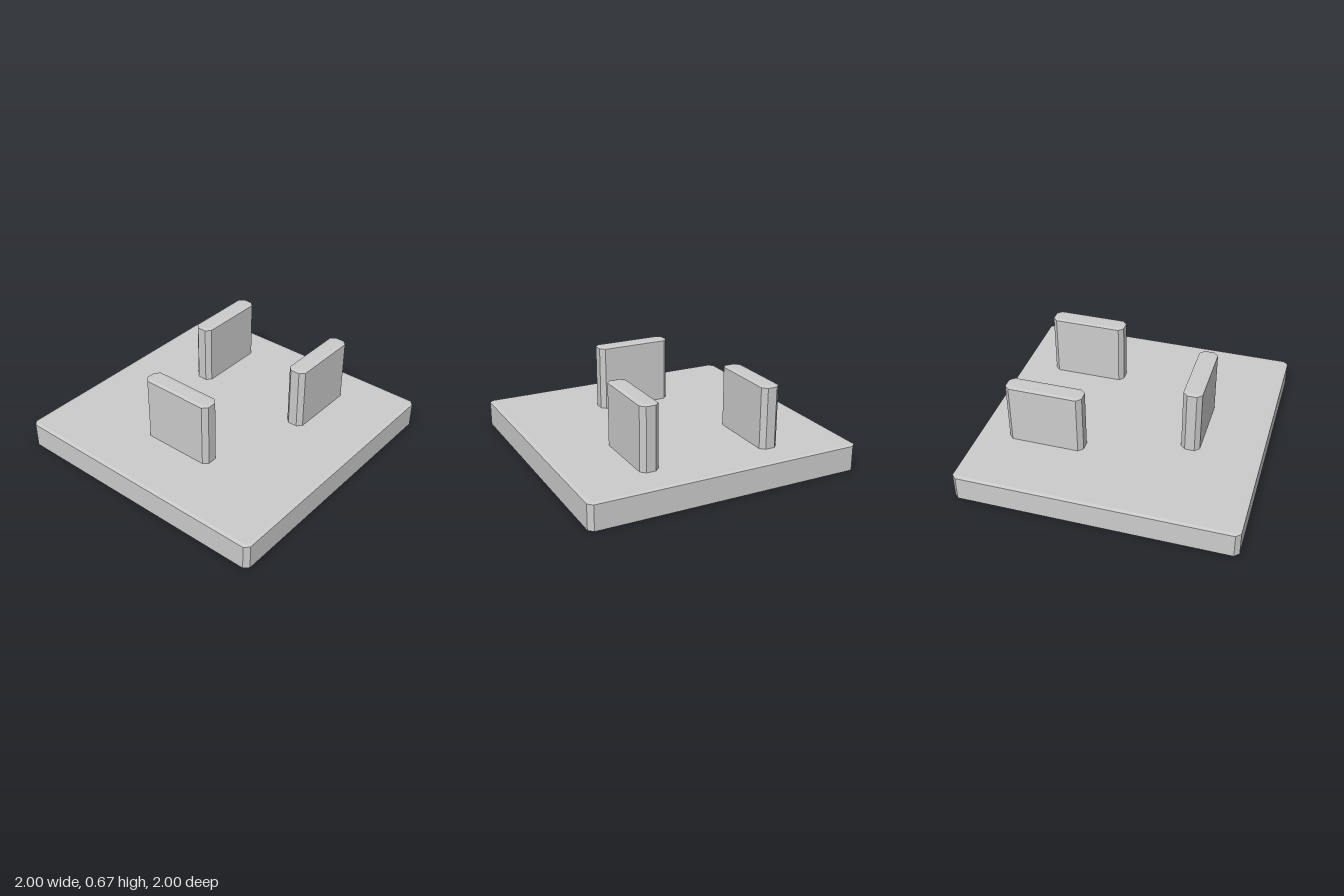
import * as THREE from 'three';

const material = new THREE.MeshStandardMaterial({ color: 0xcccccc, flatShading: true });

// Upright slab with cut corners and a very shallow bevel on its top and bottom rims
function chamferedSlab(name, [x0, x1], [y0, y1], [z0, z1]) {
  const cut = 0.033, rise = 0.005, inset = 0.025;
  const w = (x1 - x0) / 2, d = (z1 - z0) / 2;
  const outline = [
    [w - cut, -d], [w, -d + cut], [w, d - cut], [w - cut, d],
    [-w + cut, d], [-w, d - cut], [-w, -d + cut], [-w + cut, -d],
  ].map(([x, y]) => new THREE.Vector2(x, y));
  const geometry = new THREE.ExtrudeGeometry(new THREE.Shape(outline), {
    depth: y1 - y0 - 2 * rise,
    bevelThickness: rise,
    bevelSize: inset,
    bevelOffset: -inset,
    bevelSegments: 1,
  });
  geometry.translate(0, 0, rise).rotateX(-Math.PI / 2);
  const mesh = new THREE.Mesh(geometry, material);
  mesh.name = name;
  mesh.position.set((x0 + x1) / 2, y0, (z0 + z1) / 2);
  return mesh;
}

export function createModel() {
  const model = new THREE.Group();
  model.name = 'plateWithBlades';
  model.add(
    // Square base plate
    chamferedSlab('basePlate', [-1, 1], [0, 0.19], [-1, 1]),
    // Three upright blades, rooted in the plate
    chamferedSlab('frontBlade', [-0.27, 0.285], [0.1, 0.665], [0.425, 0.56]),
    chamferedSlab('rightBlade', [-0.5, -0.365], [0.1, 0.635], [-0.78, -0.225]),
    chamferedSlab('leftBlade', [0.39, 0.525], [0.1, 0.65], [-0.75, -0.195]),
  );
  return model;
}
